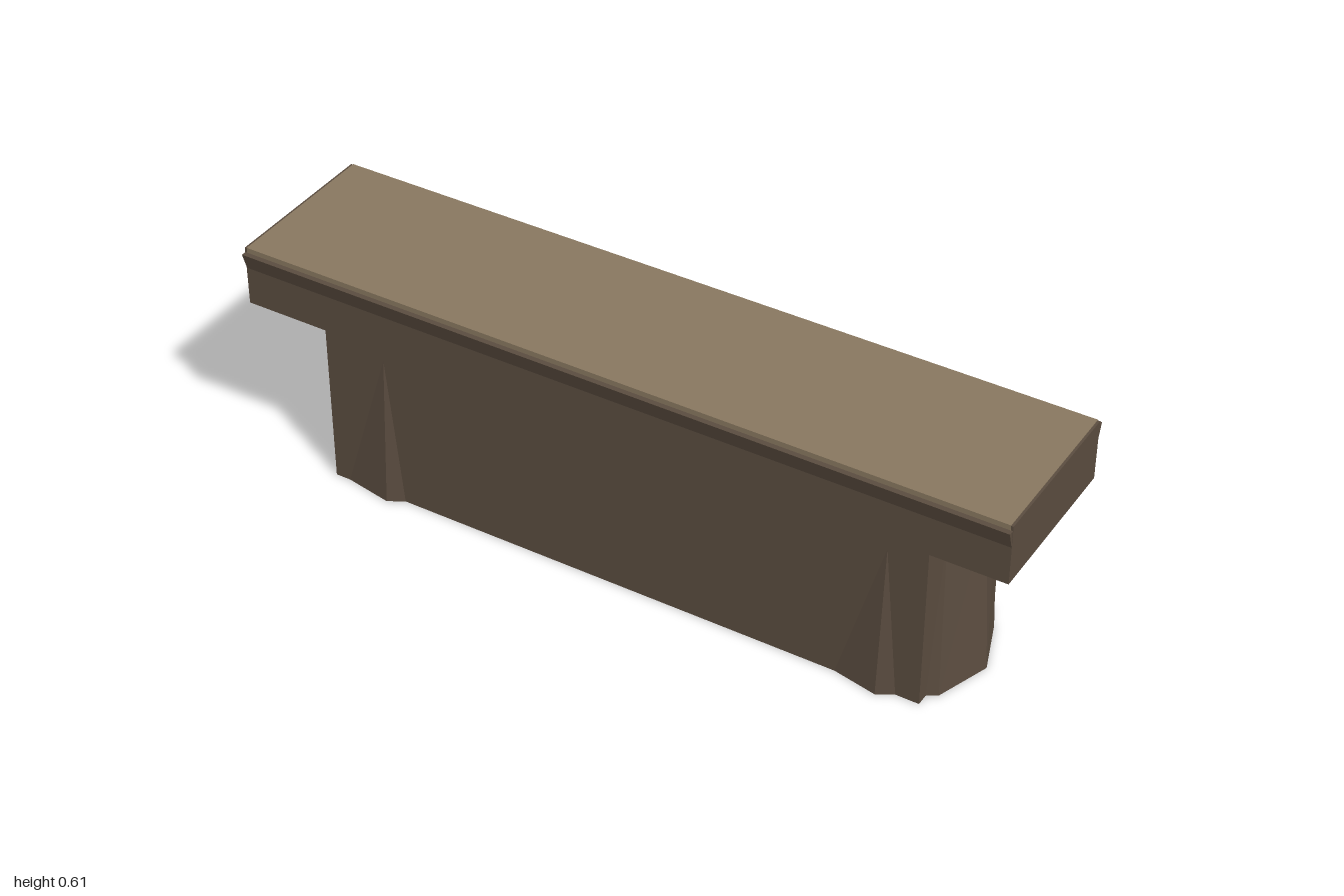
import * as THREE from 'three';

const stone = new THREE.MeshStandardMaterial({ color: 0x5a4c3f });
stone.name = 'brown stone';
const top = new THREE.MeshStandardMaterial({ color: 0x88775f });
top.name = 'tan top';

function facets(points) {
  const g = new THREE.BufferGeometry();
  g.setAttribute('position', new THREE.Float32BufferAttribute(points.flat(), 3));
  g.computeVertexNormals();
  return g;
}

function add(group, name, geometry, material, y = 0) {
  const mesh = new THREE.Mesh(geometry, material);
  mesh.name = name;
  mesh.position.y = y;
  group.add(mesh);
  return mesh;
}

export function createModel() {
  const model = new THREE.Group();
  model.name = 'stoneBench';

  // Tapered pedestal: each entry is [bottom x, bottom z, top x, top z]
  const H = 0.455;
  const outline = [
    [0.875, 0, 0.845, 0],
    [0.825, 0.139, 0.81, 0.122],
    [0.80, 0.155, 0.80, 0.127],
    [0.80, 0.187, 0.80, 0.187],
    [-0.80, 0.187, -0.80, 0.187],
    [-0.865, 0.045, -0.845, 0.045],
    [-0.865, -0.105, -0.845, -0.10],
    [-0.80, -0.155, -0.80, -0.127],
    [-0.80, -0.187, -0.80, -0.187],
    [0.80, -0.187, 0.80, -0.187],
    [0.80, -0.155, 0.80, -0.127],
    [0.825, -0.139, 0.81, -0.122],
  ];
  const body = [];
  outline.forEach((p, i) => {
    const q = outline[(i + 1) % outline.length];
    const a = [p[0], 0, p[1]], b = [q[0], 0, q[1]];
    const A = [p[2], H, p[3]], B = [q[2], H, q[3]];
    body.push(a, A, b, b, A, B, [0, 0, 0], a, b);
  });
  add(model, 'pedestal', facets(body), stone);

  // Pointed flares swelling out of the long walls near each end
  for (const side of [1, -1]) {
    for (const [l, f, r] of [[-0.76, -0.635, -0.595], [0.585, 0.70, 0.74]]) {
      const L = [l, 0, 0.187 * side], F = [f, 0, 0.21 * side];
      const R = [r, 0, 0.187 * side], P = [f, 0.405, 0.187 * side];
      const tris = [L, F, P, F, R, P, L, R, F];
      add(model, 'wallFlare', facets(side > 0 ? tris : tris.reverse()), stone);
    }
  }

  // Overhanging slab
  add(model, 'slab', new THREE.BoxGeometry(2, 0.157, 0.426), stone, 0.5335);

  // Wedge lip along both long edges
  const lip = new THREE.Shape([
    new THREE.Vector2(0.205, 0.555), new THREE.Vector2(0.213, 0.555),
    new THREE.Vector2(0.227, 0.60), new THREE.Vector2(0.205, 0.60),
  ]);
  for (const side of [1, -1]) {
    const g = new THREE.ExtrudeGeometry(lip, { depth: 1.998, bevelEnabled: false });
    g.translate(0, 0, -0.999);
    add(model, 'edgeLip', g, stone).rotation.y = -side * Math.PI / 2;
  }

  // Smooth seat surface laid over the slab
  add(model, 'seatTop', new THREE.BoxGeometry(1.988, 0.0135, 0.427), top, 0.60675);
  return model;
}
